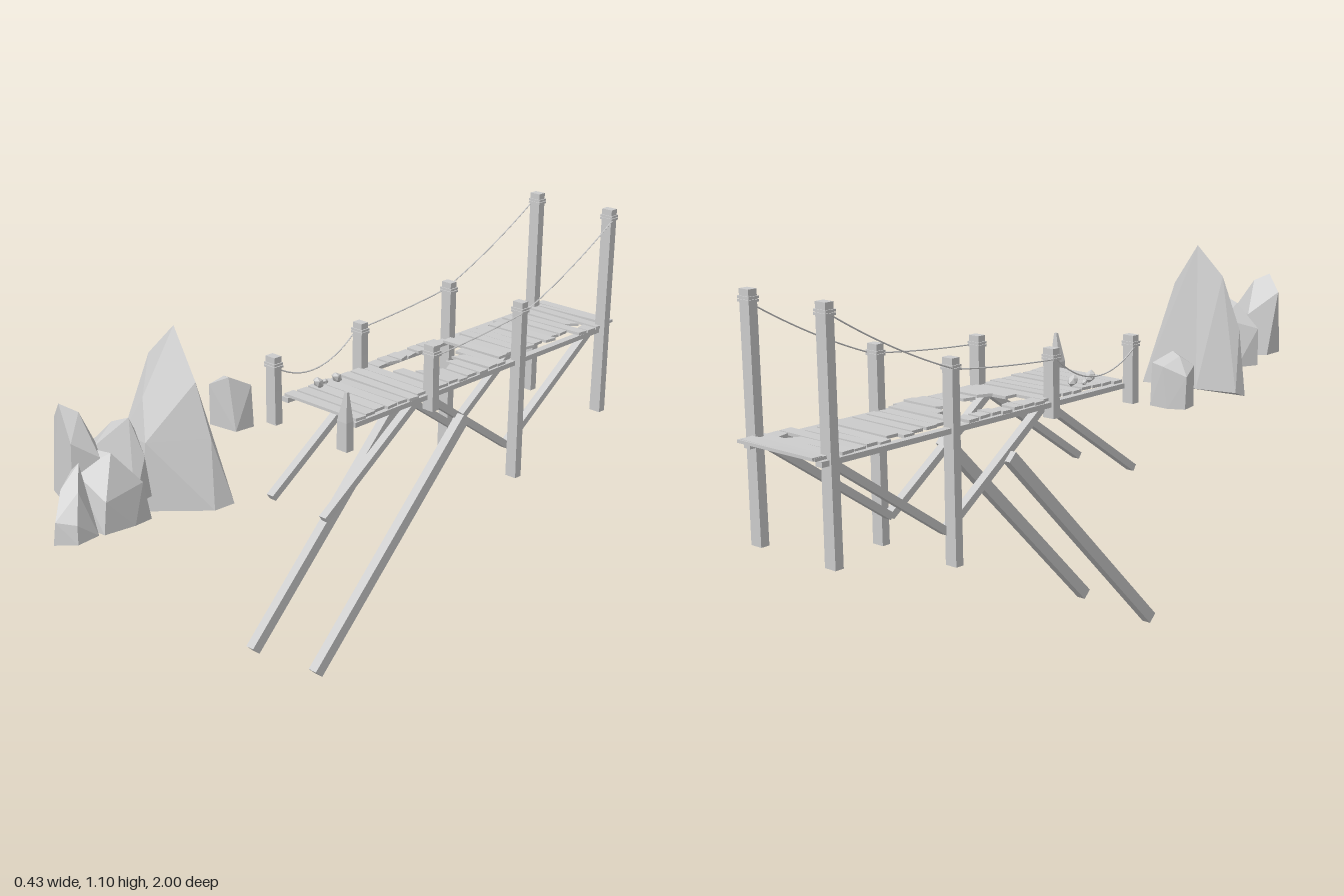
import * as THREE from 'three';
import { ConvexGeometry } from 'three/addons/geometries/ConvexGeometry.js';

const wood = new THREE.MeshStandardMaterial({ color: 0xcccccc, flatShading: true });

let seed = 7;
const rand = (a, b) => {
  seed = (seed * 16807) % 2147483647;
  return a + (b - a) * (seed / 2147483647);
};

export function createModel() {
  const model = new THREE.Group();
  const group = (name) => {
    const g = new THREE.Group();
    g.name = name;
    model.add(g);
    return g;
  };
  const add = (parent, name, geometry) => {
    const mesh = new THREE.Mesh(geometry, wood);
    mesh.name = name;
    parent.add(mesh);
    return mesh;
  };
  // Squared timber running between two points
  const timber = (parent, name, a, b, width, depth) => {
    const from = new THREE.Vector3(...a), to = new THREE.Vector3(...b);
    const mesh = add(parent, name, new THREE.BoxGeometry(width, depth, from.distanceTo(to)));
    mesh.position.copy(from).lerp(to, 0.5);
    mesh.lookAt(to);
    return mesh;
  };
  const box = (parent, name, w, h, d, x, y, z) => {
    const mesh = add(parent, name, new THREE.BoxGeometry(w, h, d));
    mesh.position.set(x, y, z);
    return mesh;
  };

  const LEFT = 0.192, RIGHT = -0.072;
  const deckY = (z) => 0.738 - z * 0.006;

  // Posts with rope lashings: z, bottom, top
  const posts = group('posts');
  const stations = [[0.15, 0.67, 0.86], [-0.18, 0.69, 0.875], [-0.55, 0.38, 0.91], [-0.945, 0.475, 1.10]];
  const tieY = (s) => s[2] - 0.028;
  for (const x of [RIGHT, LEFT]) {
    for (const s of stations) {
      const [z, y0, y1] = s;
      const broken = x === LEFT && z > 0;
      const h = (broken ? 0.83 : y1) - y0;
      const g = new THREE.BoxGeometry(0.034, h, 0.025, 1, 2, 1);
      const p = g.attributes.position;
      for (let i = 0; i < p.count; i++) {
        // The snapped post splinters to a point on its outer side
        if (broken && p.getY(i) > h / 4) p.setXYZ(i, p.getX(i) * 0.25 + 0.006, p.getY(i), p.getZ(i) * 0.3);
        else if (p.getY(i) < -h / 4) p.setX(i, p.getX(i) * 1.08);
      }
      g.computeVertexNormals();
      add(posts, broken ? 'brokenPost' : 'post', g).position.set(x, y0 + h / 2, z);
      if (!broken) {
        for (const dy of [0, 0.008]) box(posts, 'lashing', 0.041, 0.006, 0.031, x, tieY(s) + dy, z);
      }
    }
  }

  // Hand ropes; only one side still reaches the front post
  const ropes = group('ropes');
  const sags = [0.065, 0.004, 0.012];
  for (const x of [RIGHT, LEFT]) {
    for (let i = x === LEFT ? 1 : 0; i < 3; i++) {
      const a = stations[i], b = stations[i + 1];
      const side = x + (x === LEFT ? 0.017 : -0.017);
      const pts = [];
      for (let k = 0; k <= 8; k++) {
        const t = k / 8;
        pts.push(new THREE.Vector3(
          side,
          THREE.MathUtils.lerp(tieY(a), tieY(b), t) - sags[i] * 4 * t * (1 - t),
          THREE.MathUtils.lerp(a[0], b[0], t)));
      }
      add(ropes, 'rope', new THREE.TubeGeometry(new THREE.CatmullRomCurve3(pts), 20, 0.002, 5));
    }
  }

  // Rails under the planks, zigzag braces and long raking props
  const frame = group('frame');
  for (const x of [RIGHT, LEFT - 0.012]) {
    timber(frame, 'rail', [x, deckY(0.11) - 0.012, 0.11], [x, deckY(-0.98) - 0.012, -0.98], 0.022, 0.014);
  }
  for (const x of [-0.046, 0.154]) {
    const path = [[0.19, 0.472], [-0.18, 0.725], [-0.555, 0.465], [-0.945, 0.735]];
    for (let i = 0; i < 3; i++) {
      timber(frame, 'brace', [x, path[i][1], path[i][0]], [x, path[i + 1][1], path[i + 1][0]], 0.024, 0.02);
    }
  }
  timber(frame, 'longProp', [-0.072, 0.014, 0.245], [-0.062, 0.615, -0.335], 0.028, 0.033);
  timber(frame, 'longProp', [0.166, 0.034, 0.235], [0.176, 0.62, -0.335], 0.028, 0.033);

  // Deck planks with two broken openings
  const deck = group('deck');
  const plank = (z, x0, x1, skew0, skew1, depth) => {
    const w = x1 - x0;
    const g = new THREE.BoxGeometry(w, 0.008, depth);
    const p = g.attributes.position;
    for (let i = 0; i < p.count; i++) {
      const skew = p.getX(i) < 0 ? skew0 : skew1;
      p.setX(i, p.getX(i) + skew * Math.sign(p.getZ(i)));
    }
    g.computeVertexNormals();
    const mesh = add(deck, 'plank', g);
    mesh.position.set(x0 + w / 2, deckY(z) + rand(-0.002, 0.003), z);
    mesh.rotation.set(rand(-0.04, 0.04), rand(-0.015, 0.015), rand(-0.012, 0.012));
  };
  // Right-hand limit of the big opening, row by row
  const holeEdge = [0.03, 0.065, 0.07, 0.095, 0.09, 0.075, 0.02];
  for (let i = 0; i < 27; i++) {
    const z = 0.092 - i * 0.041;
    const worn = z < -0.52 && z > -0.84;
    const x0 = worn ? rand(-0.07, -0.045) : rand(-0.076, -0.066);
    const x1 = worn ? rand(0.145, 0.18) : rand(0.182, 0.194);
    const d = rand(0.033, 0.038);
    const row = Math.round((z + 0.49) / 0.041);
    if (row >= 0 && row < holeEdge.length) {
      plank(z, -0.082, -0.036 + rand(-0.008, 0.004), 0, rand(-0.006, 0.006), d);
      plank(z, holeEdge[row], x1, rand(-0.012, 0.012), 0, d);
    } else if (z < -0.86 && z > -0.93) {
      plank(z, x0, z < -0.9 ? 0.1 : 0.12, 0, -0.012, d);
      plank(z, 0.152, x1, 0.004, 0, d);
    } else {
      plank(z, x0, x1, 0, rand(-0.003, 0.003), i === 26 ? 0.04 : d);
    }
  }
  plank(-0.985, -0.074, 0.19, 0, 0, 0.03);

  // Faceted rocks wrapped around a few points
  const rocks = group('rocks');
  const rock = (name, pts) =>
    add(rocks, name, new ConvexGeometry(pts.map((p) => new THREE.Vector3(...p))));
  rock('largeRock', [
    [-0.06, 0.65, 0.47], [0.17, 0.63, 0.515], [0.16, 0.625, 0.57], [0.02, 0.615, 0.685],
    [-0.08, 0.615, 0.685], [-0.16, 0.625, 0.575], [-0.155, 0.64, 0.535],
    [-0.135, 0.82, 0.575], [-0.083, 0.97, 0.56], [-0.005, 1.055, 0.542], [0.085, 0.935, 0.555],
    [0.13, 0.80, 0.55], [0.02, 0.79, 0.665], [-0.07, 0.79, 0.66], [-0.02, 0.89, 0.635]]);
  rock('rearRock', [
    [-0.09, 0.68, 0.74], [-0.06, 0.68, 0.675], [0.08, 0.68, 0.70], [0.09, 0.68, 0.76], [-0.05, 0.68, 0.79],
    [-0.085, 0.79, 0.745], [-0.01, 0.82, 0.672], [0.085, 0.79, 0.72], [0.05, 0.885, 0.735],
    [-0.01, 0.86, 0.74], [-0.03, 0.80, 0.785]]);
  rock('tallRock', [
    [-0.082, 0.70, 0.80], [-0.08, 0.70, 0.87], [0.04, 0.69, 0.905], [0.07, 0.69, 0.80], [-0.03, 0.70, 0.77],
    [-0.08, 0.885, 0.855], [-0.035, 0.935, 0.872], [0.0, 0.915, 0.842], [0.07, 0.82, 0.84],
    [0.035, 0.86, 0.895], [-0.02, 0.82, 0.785]]);
  rock('sideRock', [
    [0.01, 0.65, 0.74], [0.12, 0.645, 0.735], [0.14, 0.655, 0.80], [0.138, 0.66, 0.89], [0.03, 0.66, 0.90],
    [0.125, 0.75, 0.76], [0.13, 0.735, 0.875], [0.085, 0.83, 0.82], [0.05, 0.83, 0.83], [0.03, 0.79, 0.89]]);
  rock('frontRock', [
    [0.05, 0.66, 0.88], [0.13, 0.66, 0.90], [0.137, 0.66, 0.965], [0.09, 0.655, 1.0], [0.075, 0.66, 0.98],
    [0.13, 0.705, 0.96], [0.09, 0.71, 0.992], [0.04, 0.80, 0.90], [0.06, 0.82, 0.895],
    [0.10, 0.77, 0.93], [0.06, 0.77, 0.95]]);
  rock('smallRock', [
    [-0.215, 0.66, 0.21], [-0.205, 0.66, 0.262], [-0.115, 0.66, 0.25], [-0.11, 0.66, 0.19], [-0.17, 0.66, 0.187],
    [-0.215, 0.75, 0.215], [-0.205, 0.775, 0.262], [-0.175, 0.80, 0.235], [-0.14, 0.808, 0.25],
    [-0.112, 0.78, 0.195], [-0.155, 0.775, 0.188]]);

  // Broken bits lying on the deck
  const debris = group('debris');
  for (const [x, z, r] of [[-0.035, 0.02, 0.02], [-0.03, -0.045, 0.019], [-0.045, -0.015, 0.011]]) {
    const bit = add(debris, 'rubble', new THREE.IcosahedronGeometry(r, 0));
    bit.position.set(x, 0.742 + r * 0.9, z);
    bit.scale.set(0.7, 1, 0.75);
    bit.rotation.set(rand(0, 1), rand(0, 3), 0.3);
  }
  return model;
}
